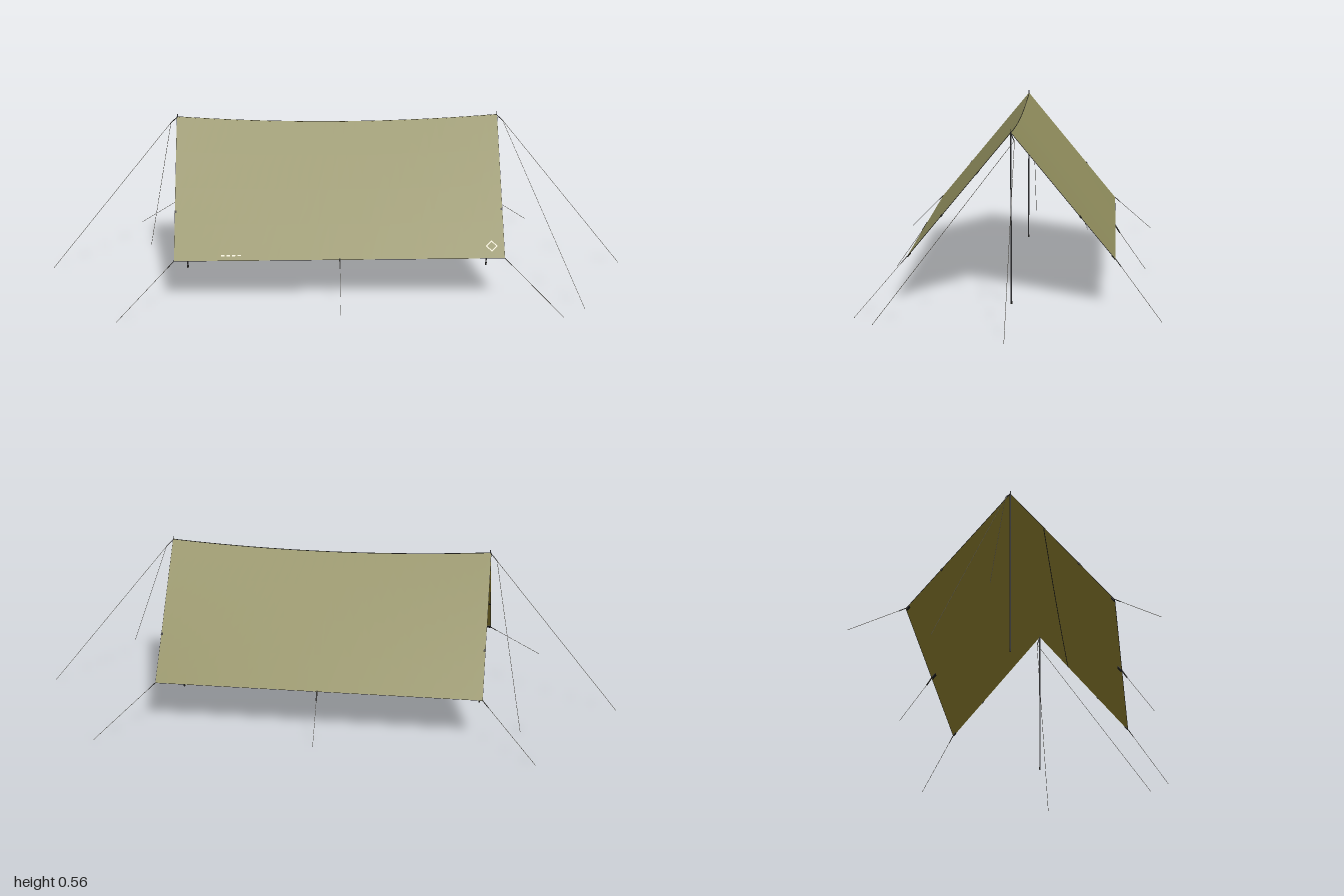
import * as THREE from 'three';

const HALF = 0.548, RIDGE = 0.555, SAG = 0.021, EAVE = 0.155, DEPTH = 0.33;
const CORD = 0.0007;

const material = (name, color) => {
  const m = new THREE.MeshStandardMaterial({ color });
  m.name = name;
  return m;
};

// Point on the front slope: x across, t from ridge (0) to lower edge (1), lift along the outward normal
function slopePoint(x, t, lift = 0) {
  const top = RIDGE - SAG * (1 - (x / HALF) ** 2);
  return new THREE.Vector3(x, top + (EAVE - top) * t + lift * 0.64, DEPTH * t + lift * 0.77);
}

// One face of the cloth; flip = 1 faces outward, -1 faces inward
function clothGeometry(flip, lift) {
  const g = new THREE.PlaneGeometry(1, 1, 32, 4);
  const p = g.attributes.position;
  for (let i = 0; i < p.count; i++) {
    const q = slopePoint(flip * p.getX(i) * 2 * HALF, 0.5 - p.getY(i), lift);
    p.setXYZ(i, q.x, q.y, q.z);
  }
  g.computeVertexNormals();
  return g;
}

export function createModel() {
  const model = new THREE.Group();
  model.name = 'tarpShelter';
  const outer = material('olive canvas', 0x8f8c5c);
  const inner = material('canvas lining', 0x8a7b2d);
  const dark = material('black webbing', 0x1c1b18);
  const metal = material('dark pole', 0x2a2a2c);
  const cord = material('guy cord', 0x3d3a33);
  const cream = material('cream print', 0xe4e0cc);

  const add = (parent, name, geometry, mat) => {
    const mesh = new THREE.Mesh(geometry, mat);
    mesh.name = name;
    parent.add(mesh);
    return mesh;
  };
  const rod = (parent, name, a, b, radius, mat, sides = 6) => {
    const dir = b.clone().sub(a);
    const mesh = add(parent, name, new THREE.CylinderGeometry(radius, radius, dir.length(), sides), mat);
    mesh.position.copy(a).addScaledVector(dir, 0.5);
    mesh.quaternion.setFromUnitVectors(new THREE.Vector3(0, 1, 0), dir.normalize());
  };
  // Sewn seam running across the slope at height t
  const seam = (parent, name, t, lift, radius) => {
    const pts = Array.from({ length: 13 }, (_, i) => slopePoint(HALF * (i / 6 - 1), t, lift));
    add(parent, name, new THREE.TubeGeometry(new THREE.CatmullRomCurve3(pts), 32, radius, 6), dark);
  };
  // Flat piece lying in the plane of the slope
  const lay = (parent, name, geometry, mat, x, t, lift) => {
    const mesh = add(parent, name, geometry, mat);
    mesh.position.copy(slopePoint(x, t, lift));
    mesh.rotation.x = -Math.atan2(DEPTH, RIDGE - EAVE);
  };
  const V = (x, y, z) => new THREE.Vector3(x, y, z);

  // Two matching slopes
  for (const side of ['front', 'back']) {
    const slope = new THREE.Group();
    slope.name = side + 'Slope';
    if (side === 'back') slope.rotation.y = Math.PI;
    model.add(slope);
    add(slope, 'outerCanvas', clothGeometry(1, 0), outer);
    add(slope, 'innerCanvas', clothGeometry(-1, -0.002), inner);
    seam(slope, 'lowerHem', 1, -0.001, 0.001);

    for (const s of [-1, 1]) {
      rod(slope, 'sideHem', slopePoint(s * HALF, 0, -0.001), slopePoint(s * HALF, 1, -0.001), 0.001, dark);
      // Side loops and inner corner patches
      lay(slope, 'sideLoop', new THREE.BoxGeometry(0.007, 0.008, 0.005), dark, s * (HALF - 0.002), 2 / 3, -0.001);
      lay(slope, 'cornerPatch', new THREE.BoxGeometry(0.014, 0.014, 0.002), dark, s * (HALF - 0.007), 0.985, -0.003);
      // Corner webbing and guy lines
      rod(slope, 'cornerLoop', V(s * HALF, EAVE, DEPTH), V(s * (HALF + 0.022), EAVE - 0.019, DEPTH + 0.017), 0.0014, dark);
      rod(slope, 'cornerGuyLine', V(s * HALF, EAVE, DEPTH), V(s * 0.73, 0, 0.472), CORD, cord);
    }

    // Patch, pull tab and guy line in the middle of the lower edge
    lay(slope, 'middlePatch', new THREE.BoxGeometry(0.022, 0.018, 0.002), dark, 0, 0.98, -0.003);
    rod(slope, 'middleTab', V(0, EAVE + 0.002, DEPTH - 0.002), V(0, 0.128, 0.346), 0.0024, dark);
    rod(slope, 'middleGuyLine', V(0, 0.13, 0.345), V(0, 0, 0.436), CORD, cord);

    // Extra seam and small printed marks on the front only
    if (side === 'front') {
      seam(slope, 'innerSeam', 1 / 3, -0.0025, 0.0014);
      lay(slope, 'diamondMark', new THREE.RingGeometry(0.015, 0.02, 4), cream, 0.506, 0.918, 0.001);
      for (let i = 0; i < 4; i++) {
        lay(slope, 'dashMark', new THREE.PlaneGeometry(0.011, 0.005), cream, -0.387 + i * 0.018, 0.966, 0.001);
      }
    }
  }
  seam(model, 'ridgeSeam', 0, -0.001, 0.0012);

  // Poles, their tips and feet, ridge loops and ridge guy lines
  for (const s of [-1, 1]) {
    rod(model, 'pole', V(s * 0.527, 0, 0), V(s * 0.546, RIDGE, 0), 0.0022, metal, 10);
    rod(model, 'poleTip', V(s * 0.546, RIDGE - 0.01, 0), V(s * 0.546, 0.564, 0), 0.0014, metal, 8);
    rod(model, 'poleFoot', V(s * 0.527, 0, 0), V(s * 0.5273, 0.009, 0), 0.003, dark, 10);
    rod(model, 'ridgeLoop', V(s * HALF, RIDGE - 0.003, 0), V(s * 0.57, 0.53, -0.012), 0.0014, dark);
    rod(model, 'ridgeGuyLine', V(s * 0.57, 0.53, -0.013), V(s, 0, -0.008), CORD, cord);
  }
  rod(model, 'leftSideGuyLine', V(0.57, 0.53, -0.012), V(0.81, 0, 0.404), CORD, cord);
  rod(model, 'rightSideGuyLine', V(-0.57, 0.53, -0.012), V(-0.675, 0, -0.226), CORD, cord);

  return model;
}
